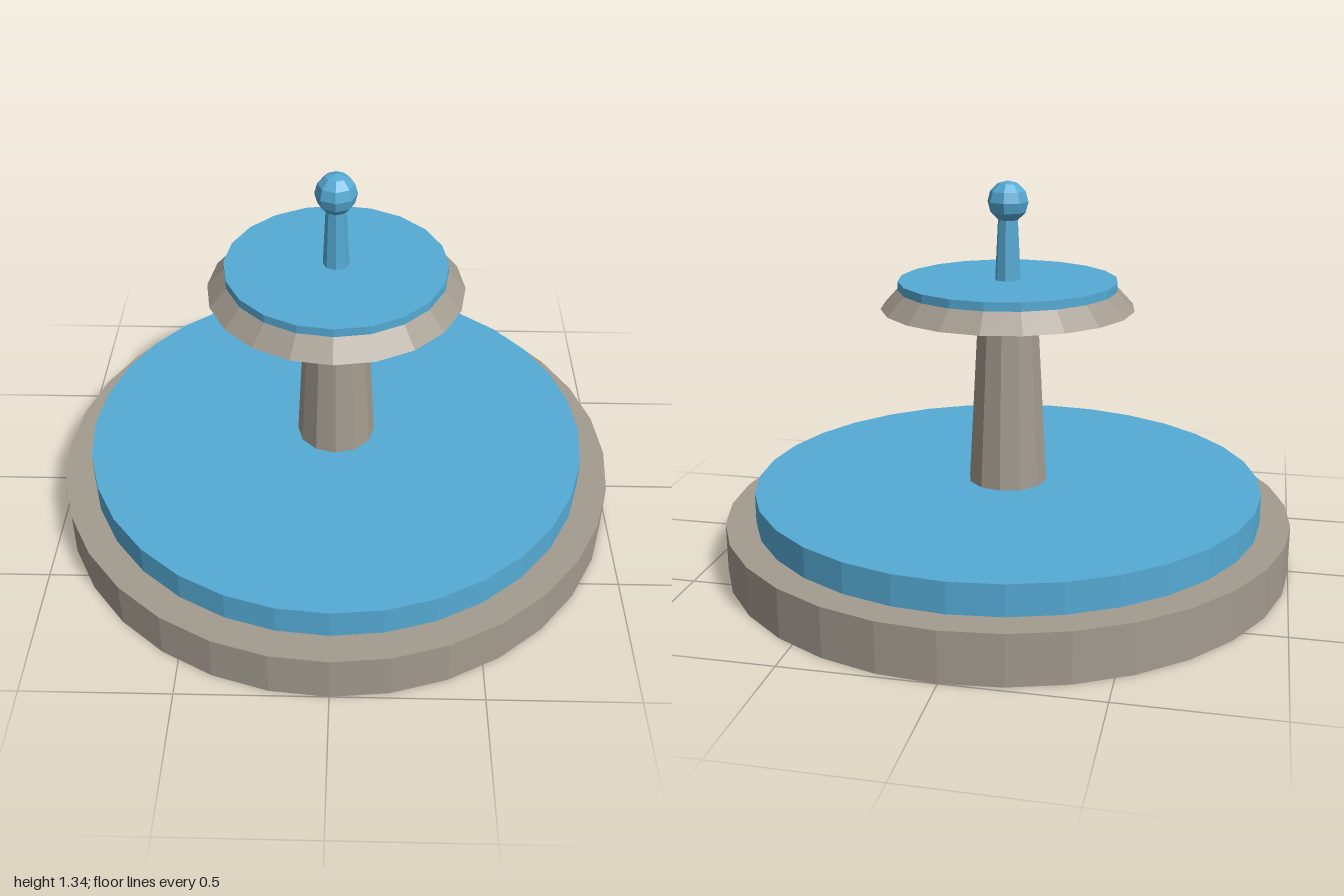
import * as THREE from 'three';

const stone = new THREE.MeshStandardMaterial({ color: 0xa39b8f, flatShading: true });
const water = new THREE.MeshStandardMaterial({ color: 0x55aad4, flatShading: true });

export function createModel() {
  const group = new THREE.Group();

  const add = (name, geometry, material, y) => {
    const mesh = new THREE.Mesh(geometry, material);
    mesh.name = name;
    mesh.position.y = y;
    group.add(mesh);
  };

  // Round tier between two heights, optionally tapered
  const tier = (name, material, rBottom, rTop, y0, y1, sides) =>
    add(name, new THREE.CylinderGeometry(rTop, rBottom, y1 - y0, sides), material, (y0 + y1) / 2);

  // Lower basin and its pool
  tier('basin', stone, 1, 1, 0, 0.17, 32);
  tier('basinWater', water, 0.895, 0.895, 0.17, 0.275, 32);

  // Tapered column carrying the upper bowl
  tier('column', stone, 0.14, 0.105, 0.275, 0.905, 12);
  tier('upperBowl', stone, 0.44, 0.38, 0.905, 0.97, 20);
  tier('upperBowlWater', water, 0.38, 0.38, 0.97, 1.0, 20);

  // Water jet with a droplet on top
  tier('jet', water, 0.045, 0.034, 1.0, 1.22, 8);
  add('droplet', new THREE.SphereGeometry(0.071, 8, 6), water, 1.268);

  return group;
}
